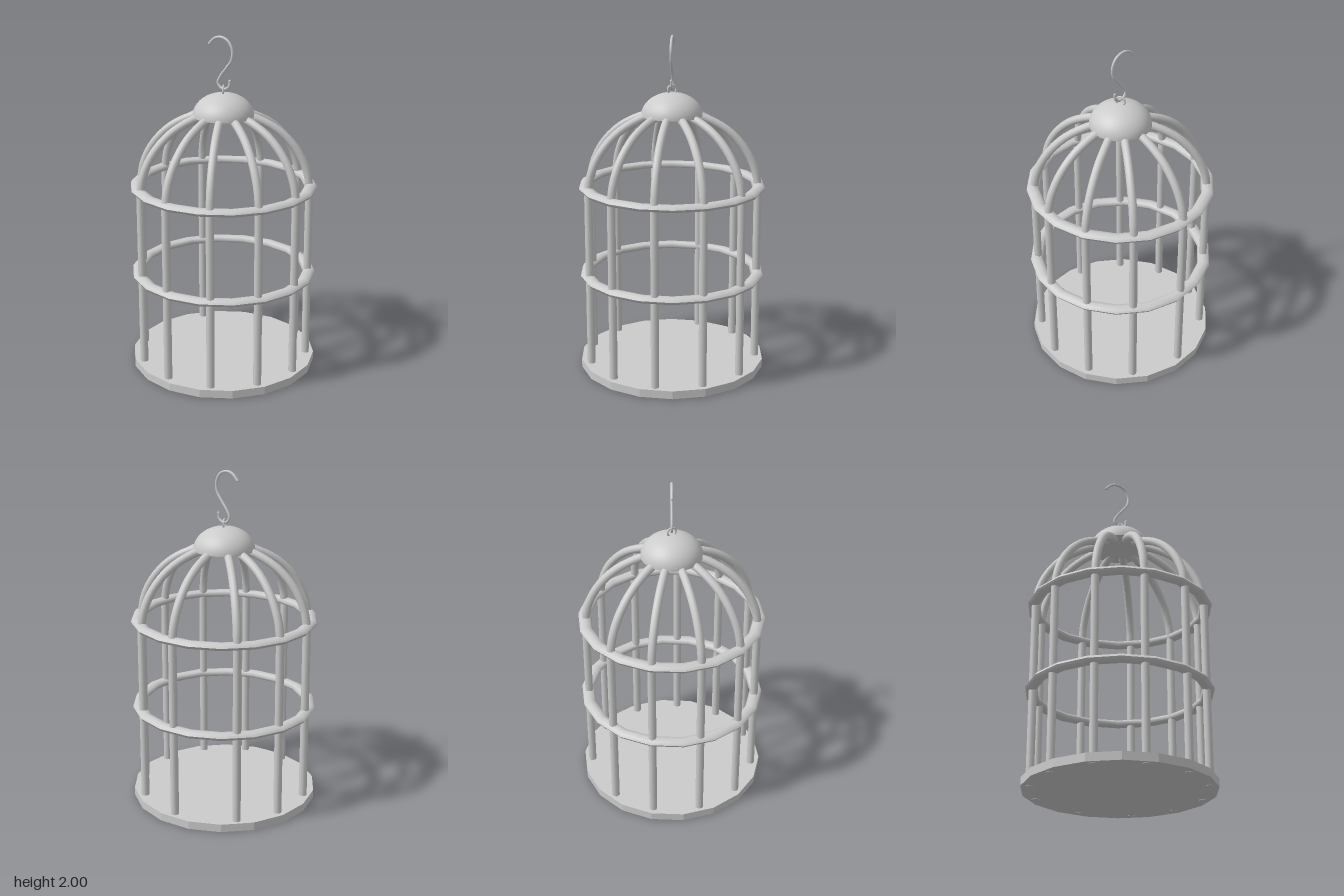
import * as THREE from 'three';

const material = new THREE.MeshStandardMaterial({ color: 0xcccccc });
const facetedMaterial = new THREE.MeshStandardMaterial({ color: 0xcccccc, flatShading: true });

const SIDES = 18;          // facets of the base and hoops
const BAR_CIRCLE = 0.505;  // distance of the bars from the axis
const BAR_RADIUS = 0.024;
const SPRING_Y = 1.12;     // height where the bars start to curve inward

function addMesh(parent, name, geometry, mat = material) {
  const mesh = new THREE.Mesh(geometry, mat);
  mesh.name = name;
  parent.add(mesh);
  return mesh;
}

// Smooth tube with closed ends
function rod(parent, name, points, segments, radius, sides) {
  const curve = new THREE.CatmullRomCurve3(points);
  const group = new THREE.Group();
  group.name = name;
  addMesh(group, name + 'Tube', new THREE.TubeGeometry(curve, segments, radius, sides));
  for (const end of [points[0], points[points.length - 1]]) {
    addMesh(group, name + 'Tip', new THREE.SphereGeometry(radius, sides, 6)).position.copy(end);
  }
  parent.add(group);
}

export function createModel() {
  const cage = new THREE.Group();
  cage.name = 'birdcage';

  // Floor disc
  const base = addMesh(cage, 'base', new THREE.CylinderGeometry(0.555, 0.555, 0.048, SIDES), facetedMaterial);
  base.position.y = 0.026;
  base.rotation.y = Math.PI / 2;

  // Flattened hoops around the bars
  const section = [];
  for (let i = 0; i <= 8; i++) {
    const a = (i / 8) * Math.PI * 2;
    section.push(new THREE.Vector2(0.514 + 0.037 * Math.cos(a), 0.023 * Math.sin(a)));
  }
  for (const [name, y] of [['middleHoop', 0.585], ['upperHoop', SPRING_Y]]) {
    const hoop = addMesh(cage, name, new THREE.LatheGeometry(section, SIDES));
    hoop.position.y = y;
    hoop.rotation.y = Math.PI / 2;
  }

  // Bars: straight below, arched toward the cap above; spacing is uneven at the back
  const arch = new THREE.CatmullRomCurve3([
    [0.505, SPRING_Y], [0.492, 1.2], [0.458, 1.29], [0.4, 1.378],
    [0.32, 1.455], [0.22, 1.512], [0.11, 1.55],
  ].map(([r, y]) => new THREE.Vector3(r, y, 0)));
  const archGeometry = new THREE.TubeGeometry(arch, 14, BAR_RADIUS, 10);
  const postGeometry = new THREE.CylinderGeometry(BAR_RADIUS, BAR_RADIUS, SPRING_Y, 10);
  for (const degrees of [0, 31.4, 62.7, 94, 125.4, 157, 188, 220, 250, 293, 329]) {
    const bar = new THREE.Group();
    bar.name = 'bar';
    addMesh(bar, 'post', postGeometry).position.set(BAR_CIRCLE, SPRING_Y / 2, 0);
    addMesh(bar, 'arch', archGeometry);
    bar.rotation.y = -THREE.MathUtils.degToRad(degrees);
    cage.add(bar);
  }

  // Domed cap with a flat underside
  const dome = addMesh(cage, 'cap', new THREE.SphereGeometry(0.179, 32, 12, 0, Math.PI * 2, 0, Math.PI / 2));
  dome.scale.y = 0.75;
  dome.position.y = 1.537;
  const underside = addMesh(cage, 'capUnderside', new THREE.CircleGeometry(0.179, 32));
  underside.rotation.x = Math.PI / 2;
  underside.position.y = 1.537;

  // Eyelet on the cap
  const eyelet = addMesh(cage, 'eyelet', new THREE.TorusGeometry(0.026, 0.006, 8, 20));
  eyelet.rotation.y = Math.PI / 2;
  eyelet.position.y = 1.687;

  // S-shaped hook, turned slightly about the axis
  const hookPoints = [
    [-0.085, 1.947], [-0.055, 1.98], [-0.018, 1.992], [0.026, 1.974], [0.052, 1.92],
    [0.046, 1.865], [0.015, 1.815], [-0.016, 1.77], [-0.033, 1.73], [-0.02, 1.703],
    [0.007, 1.694], [0.033, 1.712], [0.038, 1.745],
  ].map(([x, y]) => new THREE.Vector3(x, y, x * 0.5));
  rod(cage, 'hook', hookPoints, 60, 0.008, 8);

  return cage;
}
